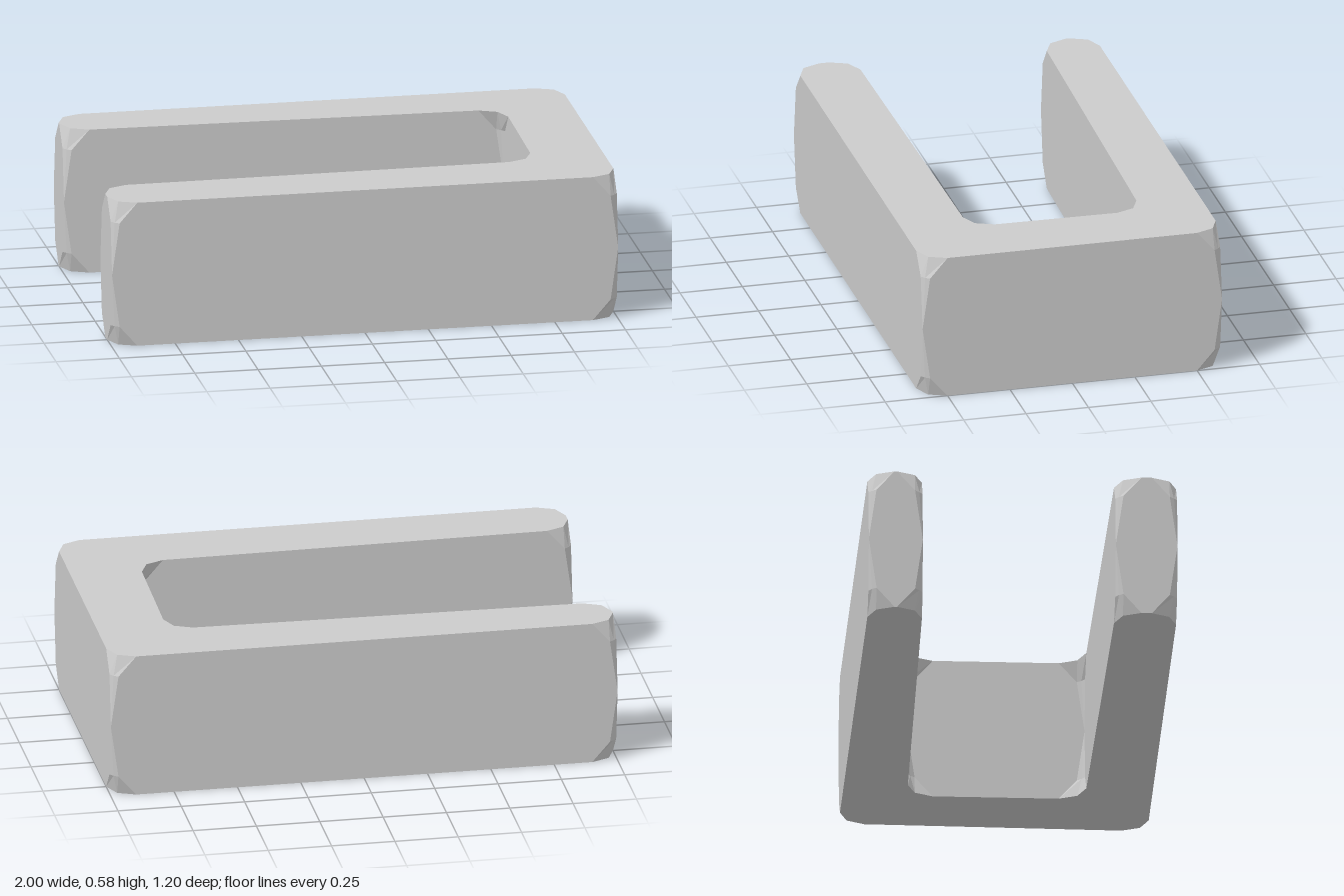
import * as THREE from 'three';

// Corners of the U-shaped plan (x, z), clockwise seen from above
const PLAN = [
  [1, -0.6], [1, 0.6], [-1, 0.6], [-1, 0.36],
  [0.72, 0.34], [0.73, -0.35], [-1, -0.39], [-1, -0.6],
].map(([x, z]) => new THREE.Vector2(x, z));

// Height, cut length along each side, offset of the cut's middle point
const LEVELS = [
  [0, 0.1, 0.03],
  [0.08, 0.03, 0.013],
  [0.29, 0, 0],
  [0.5, 0.03, 0.013],
  [0.58, 0.1, 0.03],
];

// Plan outline with every corner cut into two facets
function outline(cut, mid) {
  return PLAN.flatMap((p, i) => {
    const n = PLAN.length;
    const toPrev = PLAN[(i + n - 1) % n].clone().sub(p).normalize();
    const toNext = PLAN[(i + 1) % n].clone().sub(p).normalize();
    return [
      p.clone().addScaledVector(toPrev, cut),
      p.clone().addScaledVector(toPrev, mid).addScaledVector(toNext, mid),
      p.clone().addScaledVector(toNext, cut),
    ];
  });
}

function bracketGeometry() {
  const rings = LEVELS.map(([y, cut, mid]) =>
    outline(cut, mid).map((p) => new THREE.Vector3(p.x, y, p.y)));
  const positions = [];
  const triangle = (a, b, c) => {
    const area = b.clone().sub(a).cross(c.clone().sub(a)).length();
    if (area > 1e-7) for (const p of [a, b, c]) positions.push(p.x, p.y, p.z);
  };

  // Walls between neighbouring levels
  for (let k = 0; k < rings.length - 1; k++) {
    const low = rings[k], high = rings[k + 1];
    low.forEach((a, i) => {
      const j = (i + 1) % low.length;
      triangle(a, high[i], low[j]);
      triangle(low[j], high[i], high[j]);
    });
  }

  // Flat top and bottom
  const bottom = rings[0], top = rings[rings.length - 1];
  const flat = bottom.map((p) => new THREE.Vector2(p.x, p.z));
  for (const [a, b, c] of THREE.ShapeUtils.triangulateShape(flat, [])) {
    triangle(bottom[a], bottom[b], bottom[c]);
    triangle(top[a], top[c], top[b]);
  }

  const geometry = new THREE.BufferGeometry();
  geometry.setAttribute('position', new THREE.Float32BufferAttribute(positions, 3));
  geometry.computeVertexNormals();
  return geometry;
}

export function createModel() {
  const group = new THREE.Group();
  group.name = 'uBlock';
  const material = new THREE.MeshStandardMaterial({ color: 0xcccccc, flatShading: true });
  const block = new THREE.Mesh(bracketGeometry(), material);
  block.name = 'bevelledBracket';
  group.add(block);
  return group;
}
